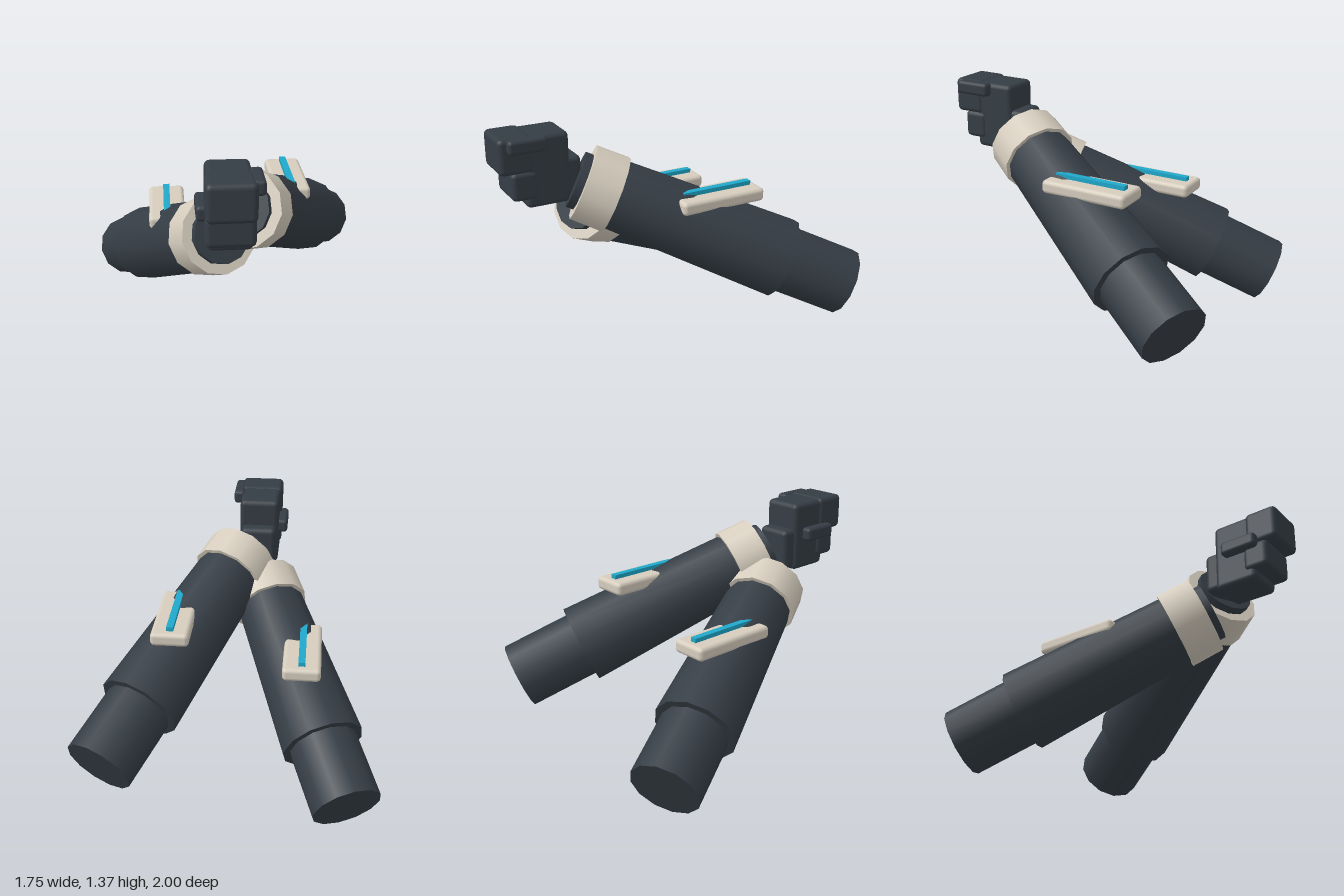
import * as THREE from 'three';
import { RoundedBoxGeometry } from 'three/addons/geometries/RoundedBoxGeometry.js';

export function createModel() {
  const model = new THREE.Group();
  const mat = (name, color) => Object.assign(new THREE.MeshStandardMaterial({ color }), { name });
  const dark = mat('dark slate', 0x353d45);
  const cream = mat('cream', 0xd6cdbe);
  const blue = mat('bright blue', 0x1fa9cb);

  const add = (parent, name, geometry, material) => {
    const mesh = new THREE.Mesh(geometry, material);
    mesh.name = name;
    parent.add(mesh);
    return mesh;
  };

  // Box given by its extents along x, y and z
  const block = (parent, name, [x0, x1], [y0, y1], [z0, z1], material, radius) => {
    const size = [x1 - x0, y1 - y0, z1 - z0];
    const geometry = radius
      ? new RoundedBoxGeometry(...size, 2, radius)
      : new THREE.BoxGeometry(...size);
    add(parent, name, geometry, material)
      .position.set((x0 + x1) / 2, (y0 + y1) / 2, (z0 + z1) / 2);
  };

  // Twelve-sided section running from a to b along the barrel axis (+z)
  const section = (parent, name, a, b, ra, rb, material) => {
    const geometry = new THREE.CylinderGeometry(rb, ra, b - a, 12);
    geometry.rotateX(Math.PI / 2).translate(0, 0, (a + b) / 2);
    add(parent, name, geometry, material);
  };

  // A barrel from its front collar to its rear end, with a level plate on top
  const barrel = (name, front, rear, plate) => {
    const group = new THREE.Group();
    group.name = name;
    const start = new THREE.Vector3(...front);
    const end = new THREE.Vector3(...rear);
    const length = start.distanceTo(end);
    const axis = new THREE.Group();
    axis.name = name + 'Tube';
    axis.position.copy(start);
    axis.lookAt(end);
    section(axis, 'frontCap', -0.045, 0.02, 0.17, 0.17, dark);
    section(axis, 'collar', 0, 0.2, 0.228, 0.232, cream);
    section(axis, 'mainTube', 0.19, length * 0.75, 0.208, 0.243, dark);
    section(axis, 'rearTube', length * 0.7, length, 0.202, 0.202, dark);
    group.add(axis);

    const [x, top, z] = plate;
    block(group, 'topPlate', [x - 0.11, x + 0.11], [top - 0.08, top], [z - 0.268, z + 0.268], cream, 0.025);
    block(group, 'lightStrip', [x - 0.02, x + 0.02], [top - 0.01, top + 0.025], [z - 0.223, z + 0.223], blue);
    model.add(group);
  };
  barrel('leftBarrel', [0.005, 1.04, 0.5], [0.69, 0.375, -0.892], [0.343, 0.98, -0.185]);
  barrel('rightBarrel', [-0.12, 0.865, 0.455], [-0.69, 0.19, -0.892], [-0.405, 0.805, -0.212]);

  // Sensor head built from overlapping rounded blocks
  const head = new THREE.Group();
  head.name = 'head';
  block(head, 'headCore', [-0.21, 0.033], [0.945, 1.365], [0.585, 0.85], dark, 0.03);
  block(head, 'headFront', [-0.222, 0.042], [1.16, 1.372], [0.8, 1.0], dark, 0.03);
  block(head, 'headChin', [-0.222, 0.042], [1.0, 1.17], [0.78, 0.935], dark, 0.03);
  block(head, 'headBack', [-0.197, 0.02], [0.96, 1.207], [0.51, 0.66], dark, 0.03);
  block(head, 'leftPod', [0.015, 0.085], [1.287, 1.37], [0.73, 0.955], dark, 0.022);
  block(head, 'rightPod', [-0.265, -0.195], [1.128, 1.212], [0.655, 0.88], dark, 0.022);
  model.add(head);

  return model;
}
